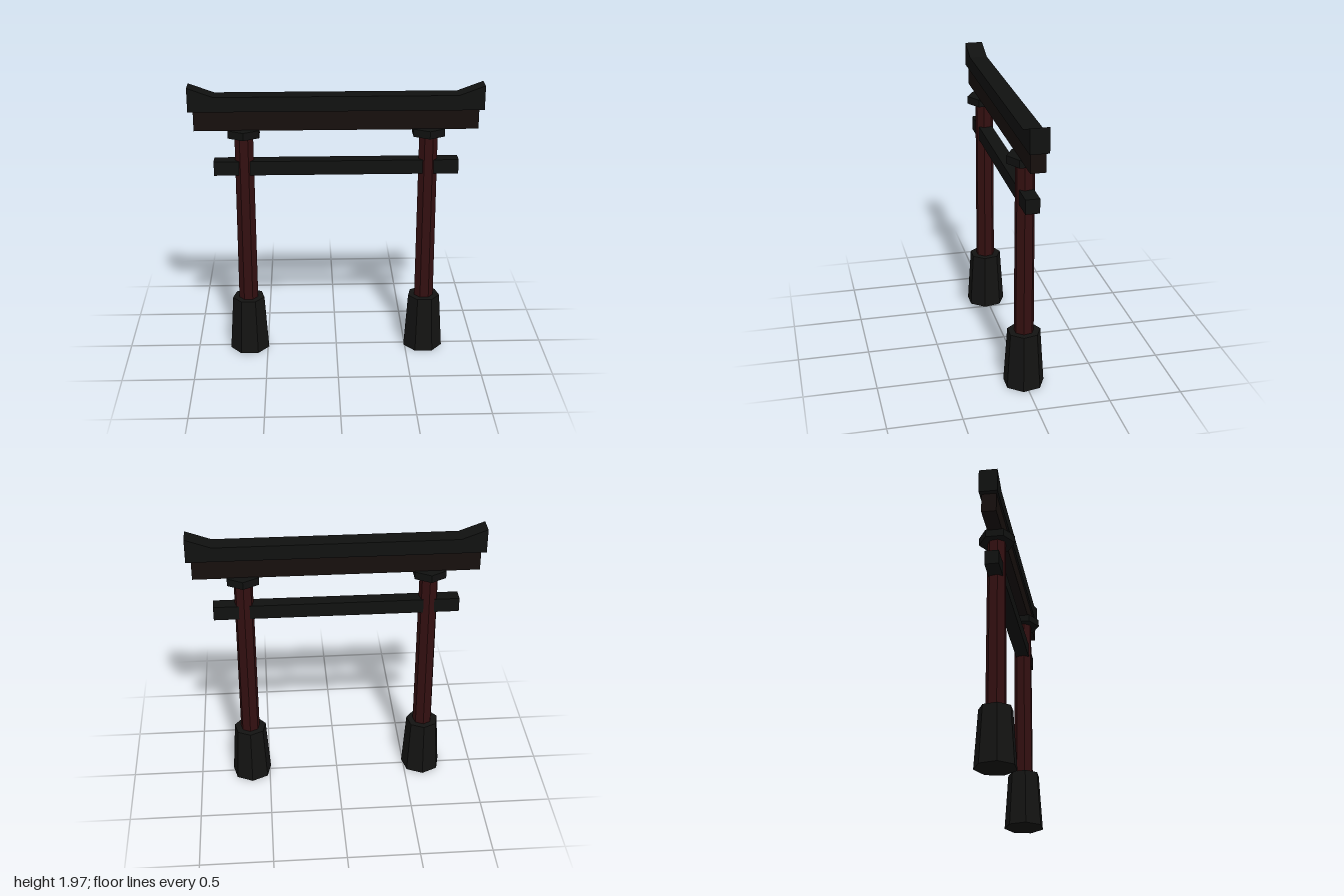
import * as THREE from 'three';

const Z = 0.006; // common centre line of the gate

const mat = (color) => new THREE.MeshStandardMaterial({ color, flatShading: true });
const stone = mat(0x131312);
const blackWood = mat(0x101110);
const brownWood = mat(0x160f0d);
const redWood = mat(0x330f10);

function add(group, name, geometry, material, x, y) {
  const mesh = new THREE.Mesh(geometry, material);
  mesh.name = name;
  mesh.position.set(x, y, Z);
  group.add(mesh);
  return mesh;
}

// Faceted upright standing between two heights
function prism(group, name, material, sides, rTop, rBottom, y0, y1, turn) {
  const geometry = new THREE.CylinderGeometry(rTop, rBottom, y1 - y0, sides, 1, false, turn);
  return add(group, name, geometry, material, 0, (y0 + y1) / 2);
}

// Horizontal beam across the gate
function beam(group, name, material, length, depth, y0, y1) {
  return add(group, name, new THREE.BoxGeometry(length, y1 - y0, depth), material, 0, (y0 + y1) / 2);
}

export function createModel() {
  const gate = new THREE.Group();
  gate.name = 'gate';

  // Columns: tapered seven-sided footing and post, six-sided capital
  for (const [side, x] of [['left', 0.63], ['right', -0.63]]) {
    const column = new THREE.Group();
    column.name = side + 'Column';
    column.position.x = x;
    prism(column, 'footing', stone, 7, 0.115, 0.142, 0, 0.4, Math.PI);
    prism(column, 'post', redWood, 7, 0.065, 0.069, 0.4, 1.62, Math.PI);
    prism(column, 'capital', blackWood, 6, 0.123, 0.123, 1.612, 1.666, 0);
    gate.add(column);
  }

  // Tie beam and lower lintel
  beam(gate, 'tieBeam', blackWood, 1.68, 0.096, 1.34, 1.44);
  beam(gate, 'lowerLintel', brownWood, 1.93, 0.1, 1.662, 1.8);

  // Upper lintel with upswept ends
  const profile = new THREE.Shape([
    [-1, 1.797], [1, 1.797], [1, 1.965], [0.825, 1.9], [-0.825, 1.9], [-1, 1.965],
  ].map(([x, y]) => new THREE.Vector2(x, y)));
  const depth = 0.126;
  const lintel = new THREE.ExtrudeGeometry(profile, { depth, bevelEnabled: false });
  lintel.translate(0, 0, -depth / 2);
  add(gate, 'upperLintel', lintel, blackWood, 0, 0);

  return gate;
}
